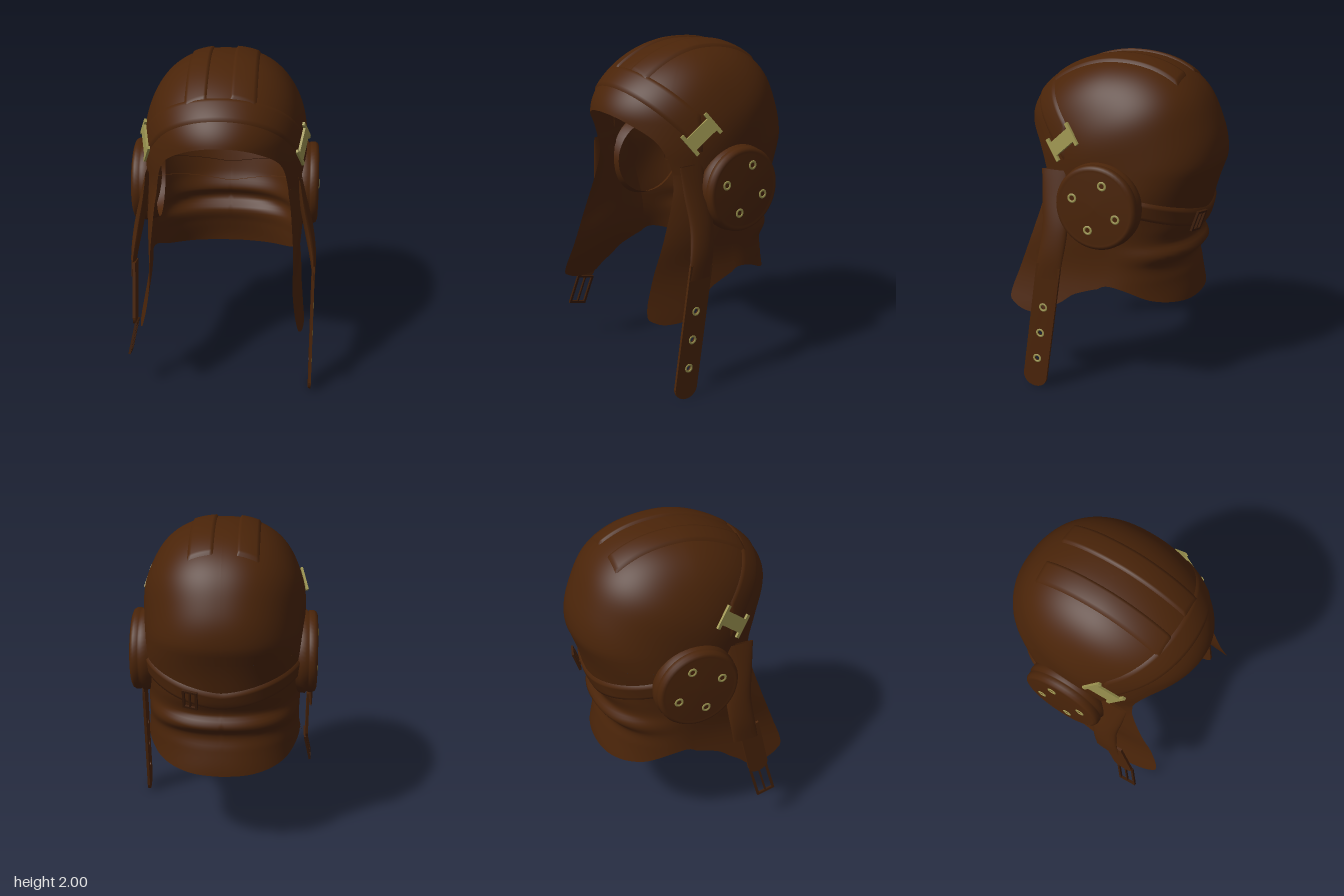
import * as THREE from 'three';

const leather = new THREE.MeshStandardMaterial({ color: 0x4a2409, side: THREE.DoubleSide });
const darkLeather = new THREE.MeshStandardMaterial({ color: 0x3a1c08, side: THREE.DoubleSide });
const brass = new THREE.MeshStandardMaterial({ color: 0x9c9450 });
const RAD = Math.PI / 180;
const lerp = THREE.MathUtils.lerp;

// Smooth curve through [x, value] points
function curve(pts) {
  const slope = i => {
    const a = pts[Math.max(0, i - 1)], b = pts[Math.min(pts.length - 1, i + 1)];
    return (b[1] - a[1]) / (b[0] - a[0]);
  };
  return x => {
    x = THREE.MathUtils.clamp(x, pts[0][0], pts[pts.length - 1][0]);
    let i = 0;
    while (i < pts.length - 2 && x > pts[i + 1][0]) i++;
    const h = pts[i + 1][0] - pts[i][0], t = (x - pts[i][0]) / h, t2 = t * t, t3 = t2 * t;
    return pts[i][1] * (2 * t3 - 3 * t2 + 1) + slope(i) * h * (t3 - 2 * t2 + t)
      + pts[i + 1][1] * (3 * t2 - 2 * t3) + slope(i + 1) * h * (t3 - t2);
  };
}

// Horizontal sections of the cap: half width, front depth and back depth by height
const TOP = 1.988;
const dome = (y, base, p) => Math.pow(Math.max(0, 1 - Math.pow(Math.max(0, (y - base) / (TOP - base)), p)), 1 / p);
const widthLow = curve([[0.45, 0.505], [0.6, 0.475], [0.75, 0.46], [0.92, 0.465], [1.2, 0.475], [1.4, 0.48]]);
const backLow = curve([[0.45, 0.465], [0.6, 0.465], [0.72, 0.45], [0.81, 0.43], [0.88, 0.48], [0.95, 0.44], [1.05, 0.485], [1.2, 0.535], [1.4, 0.59]]);
const frontLow = curve([[0.45, 1.6], [0.7, 1.3], [0.95, 0.95], [1.2, 0.65], [1.3, 0.58], [1.45, 0.59], [1.6, 0.59]]);
const halfWidth = y => y > 1.4 ? 0.48 * dome(y, 1.4, 2.4) : widthLow(y);
const depth = (y, c) => c > 0 ? (y > 1.6 ? 0.59 * dome(y, 1.6, 1.8) : frontLow(y))
  : (y > 1.4 ? 0.59 * dome(y, 1.4, 2.35) : backLow(y));
const BACK_POWER = 2.25; // fuller than an ellipse behind

function section(phi, y) {
  const s = Math.sin(phi), c = Math.cos(phi);
  const r = c > 0 ? 1 : Math.pow(Math.abs(s) ** BACK_POWER + Math.abs(c) ** BACK_POWER, -1 / BACK_POWER);
  return new THREE.Vector3(halfWidth(y) * s * r, y, depth(y, c) * c * r);
}
function normalAt(phi, y) {
  y = Math.min(y, TOP - 0.003);
  const across = section(phi + 0.01, y).sub(section(phi - 0.01, y));
  const up = section(phi, y + 0.002).sub(section(phi, y - 0.002));
  return across.cross(up).normalize();
}
function surf(phi, y, off = 0) {
  const fold = 0.007 * Math.sin(13 * y + 5 * Math.cos(phi)) * (1 - Math.cos(phi)) / 2
    * THREE.MathUtils.smoothstep(TOP - y, 0.05, 0.4);
  return section(phi, y).addScaledVector(normalAt(phi, y), off + fold);
}

// Sheet from a rule f(u, v)
function sheet(name, nu, nv, f, material = leather) {
  const pos = [], idx = [];
  for (let j = 0; j <= nv; j++) for (let i = 0; i <= nu; i++) {
    pos.push(...f(i / nu, j / nv).toArray());
    if (i < nu && j < nv) {
      const a = j * (nu + 1) + i, b = a + nu + 1;
      idx.push(a, b, a + 1, a + 1, b, b + 1);
    }
  }
  const g = new THREE.BufferGeometry();
  g.setAttribute('position', new THREE.Float32BufferAttribute(pos, 3));
  g.setIndex(idx);
  g.computeVertexNormals();
  const m = new THREE.Mesh(g, material);
  m.name = name;
  return m;
}
// Raised sheets tuck down to the cap at their borders
const raised = (u, v, h) => (u < 0.001 || u > 0.999 || v < 0.001 || v > 0.999 ? -0.004 : h);
function solve(lo, hi, below) {
  for (let i = 0; i < 30; i++) { const m = (lo + hi) / 2; if (below(m)) lo = m; else hi = m; }
  return lo;
}

// Face opening, flap edge and hem
const JOIN = 1.3, PHI_JOIN = Math.acos(0.36 / 0.58);
const arch = curve([[0, 1.63], [12, 1.62], [25, 1.585], [40, 1.51], [47, 1.43], [PHI_JOIN / RAD, JOIN]]);
const edgeZ = curve([[0.46, 0.55], [0.53, 0.595], [0.7, 0.545], [0.95, 0.45], [1.2, 0.37], [1.3, 0.36]]);
const hem = curve([[0, 0.51], [0.012, 0.475], [0.035, 0.46], [0.067, 0.465], [0.125, 0.55], [0.16, 0.62], [0.25, 0.69], [0.37, 0.68], [0.56, 0.61], [0.8, 0.57], [1, 0.562]]);
function skirtPoint(u, v, off = 0) {
  const y = lerp(JOIN, hem(u), v);
  return surf(lerp(Math.acos(edgeZ(y) / frontLow(y)), Math.PI, u), y, off);
}

function grommet(x, y, z) {
  const m = new THREE.Mesh(new THREE.TorusGeometry(0.021, 0.007, 8, 20), brass);
  m.position.set(x, y, z);
  m.scale.z = 0.6;
  m.name = 'grommet';
  return m;
}

// Hanging strap with a rounded end; local -y runs along it, local z faces outwards
function hangingStrap(name, x, z, tilt, length, width, holes) {
  const g = new THREE.Group(), w = width / 2, s = new THREE.Shape();
  s.moveTo(-w, 0);
  s.lineTo(-w, -length + w * 0.8);
  s.bezierCurveTo(-w * 0.8, -length - w * 0.267, w * 0.8, -length - w * 0.267, w, -length + w * 0.8);
  s.lineTo(w, 0);
  holes.forEach(d => {
    s.holes.push(new THREE.Path().absarc(0, -d, 0.018, 0, Math.PI * 2, true));
    g.add(grommet(0, -d, 0.015));
  });
  const m = new THREE.Mesh(new THREE.ExtrudeGeometry(s, { depth: 0.016, bevelEnabled: false, curveSegments: 14 }), leather);
  m.name = 'strapBody';
  g.add(m);
  g.position.set(x, 0.8, z);
  g.rotation.set(0, Math.PI / 2, -tilt);
  g.name = name;
  return g;
}

// Rectangular buckle frame with a centre bar
function frameBuckle(name, w, h, t) {
  const rect = (P, x0, x1, y0, y1) => new P([[x0, y0], [x1, y0], [x1, y1], [x0, y1]].map(p => new THREE.Vector2(...p)));
  const s = rect(THREE.Shape, -w / 2, w / 2, -h / 2, h / 2);
  s.holes.push(rect(THREE.Path, -w / 2 + t, -t / 3, -h / 2 + t, h / 2 - t), rect(THREE.Path, t / 3, w / 2 - t, -h / 2 + t, h / 2 - t));
  const m = new THREE.Mesh(new THREE.ExtrudeGeometry(s, { depth: t, bevelEnabled: false }), darkLeather);
  m.name = name;
  return m;
}
// Lay an object on the cap, its local x along a given direction
function place(obj, phi, y, off, dir) {
  const n = normalAt(phi, y), x = dir.clone().addScaledVector(n, -dir.dot(n)).normalize();
  obj.quaternion.setFromRotationMatrix(new THREE.Matrix4().makeBasis(x, n.clone().cross(x), n));
  obj.position.copy(section(phi, y).addScaledVector(n, off));
  return obj;
}

// Centre of the padded strap root, from the temple down to the strap
const rootX = curve([[0.72, 0.54], [0.85, 0.53], [1.0, 0.505], [1.2, 0.465], [1.36, 0.44]]);
const rootZ = curve([[0.72, 0.295], [1.0, 0.255], [1.2, 0.27], [1.36, 0.28]]);

// Parts found on both sides, built for +x
function sideParts() {
  const g = new THREE.Group();
  g.add(sheet('skirt', 80, 40, (u, v) => skirtPoint(Math.pow(u, 1.8), v)));
  g.add(sheet('flapLining', 24, 30, (u, v) => skirtPoint(u * 0.24, v, -0.025 * Math.sin(Math.PI * u) * Math.sin(Math.PI * v))));
  g.add(sheet('strapRoot', 24, 24, (u, v) => {
    const y = lerp(1.36, 0.72, v), a = u * Math.PI * 2;
    const thick = 0.008 + 0.02 * Math.sin(Math.PI * v);
    return new THREE.Vector3(rootX(y) + thick * Math.sin(a), y, rootZ(y) + 0.08 * Math.cos(a));
  }));

  // Round ear cup with four grommets
  const cup = new THREE.Group();
  const profile = [[0.23, 0.4], [0.25, 0.45], [0.253, 0.485], [0.24, 0.497], [0.247, 0.505], [0.247, 0.53], [0.238, 0.545], [0.222, 0.552], [0.216, 0.545], [0.21, 0.552], [0, 0.555]];
  const pad = new THREE.Mesh(new THREE.LatheGeometry(profile.map(p => new THREE.Vector2(...p)), 56), leather);
  pad.rotation.x = Math.PI / 2;
  pad.name = 'earPad';
  cup.add(pad);
  [[-0.07, 1.34], [-0.15, 1.155], [0.02, 1.07], [0.115, 1.25]].forEach(([z, y]) => cup.add(grommet(-z - 0.02, y - 1.2, 0.554)));
  cup.rotation.y = Math.PI / 2;
  cup.position.set(0, 1.19, -0.02);
  cup.name = 'earCup';
  g.add(cup);

  // I-shaped temple buckle
  const clip = new THREE.Group();
  [[0, 0.17, 0.085], [-0.09, 0.022, 0.145], [0.09, 0.022, 0.145]].forEach(([x, w, h]) => {
    const m = new THREE.Mesh(new THREE.BoxGeometry(w, h, 0.014), brass);
    m.position.x = x;
    m.name = 'bucklePlate';
    clip.add(m);
  });
  clip.name = 'templeBuckle';
  g.add(place(clip, 68.5 * RAD, 1.53, 0.013, new THREE.Vector3(0, 0.115, -0.15)));
  return g;
}

export function createModel() {
  const model = new THREE.Group();

  // Crown, cut away over the face
  model.add(sheet('crown', 160, 44, (u, v) => {
    const a = Math.abs(u * 2 - 1), side = u < 0.5 ? -1 : 1;
    const phi = a < 0.4 ? a / 0.4 * PHI_JOIN : lerp(PHI_JOIN, Math.PI, (a - 0.4) / 0.6);
    const bottom = phi < PHI_JOIN ? arch(phi / RAD) : JOIN;
    const p = surf(phi, TOP - (TOP - bottom) * v * v);
    p.x *= side;
    return p;
  }));

  // Band over the brow, a slanted slice of the crown
  model.add(sheet('browBand', 80, 10, (u, v) => {
    const phi = lerp(-70, 70, u) * RAD, q = -0.868 + lerp(-0.078, 0.078, v);
    const y = solve(1.35, TOP, m => 0.74 * section(phi, m).z - 0.67 * m > q);
    return surf(phi, y, raised(u, v, 0.007));
  }));

  // Two raised strips over the top
  [[-0.21, -0.08], [0.045, 0.195]].forEach(([x0, x1]) => model.add(sheet('topStrip', 12, 60, (u, v) => {
    const x = lerp(x0, x1, u), z = lerp(-0.38, 0.42, v), p = z > 0 ? 2 : BACK_POWER;
    const y = solve(1.4, TOP, m => Math.abs(x / halfWidth(m)) ** p + Math.abs(z / depth(m, z)) ** p < 1);
    return new THREE.Vector3(x, y + raised(u, v, 0.012), z);
  })));

  const left = sideParts(), right = sideParts();
  left.name = 'leftSide';
  right.name = 'rightSide';
  right.scale.x = -1;
  model.add(left, right);

  // Chin straps: long one with grommets, short one with a buckle
  left.add(hangingStrap('longChinStrap', 0.528, 0.283, 0.149, 0.809, 0.155, [0.273, 0.445, 0.618]));
  const short = hangingStrap('shortChinStrap', 0.515, 0.32, 0.24, 0.39, 0.13, []);
  const chinBuckle = frameBuckle('chinBuckle', 0.12, 0.2, 0.014);
  chinBuckle.position.set(0, -0.47, 0.01);
  chinBuckle.rotation.x = -0.2;
  short.add(chinBuckle);
  right.add(short);

  // Strap across the back of the neck with its buckle
  const neckY = phi => 1.06 + 0.12 * Math.pow(Math.abs(phi - 180) / 65, 1.3);
  model.add(sheet('neckStrap', 60, 8, (u, v) => {
    const deg = lerp(110, 250, u);
    return surf(deg * RAD, neckY(deg) + lerp(-0.058, 0.058, v), raised(u, v, 0.014));
  }));
  const neckBuckle = frameBuckle('neckBuckle', 0.09, 0.13, 0.014);
  model.add(place(neckBuckle, 160 * RAD, neckY(160), 0.03, new THREE.Vector3(-1, 0, 0)));

  return model;
}
